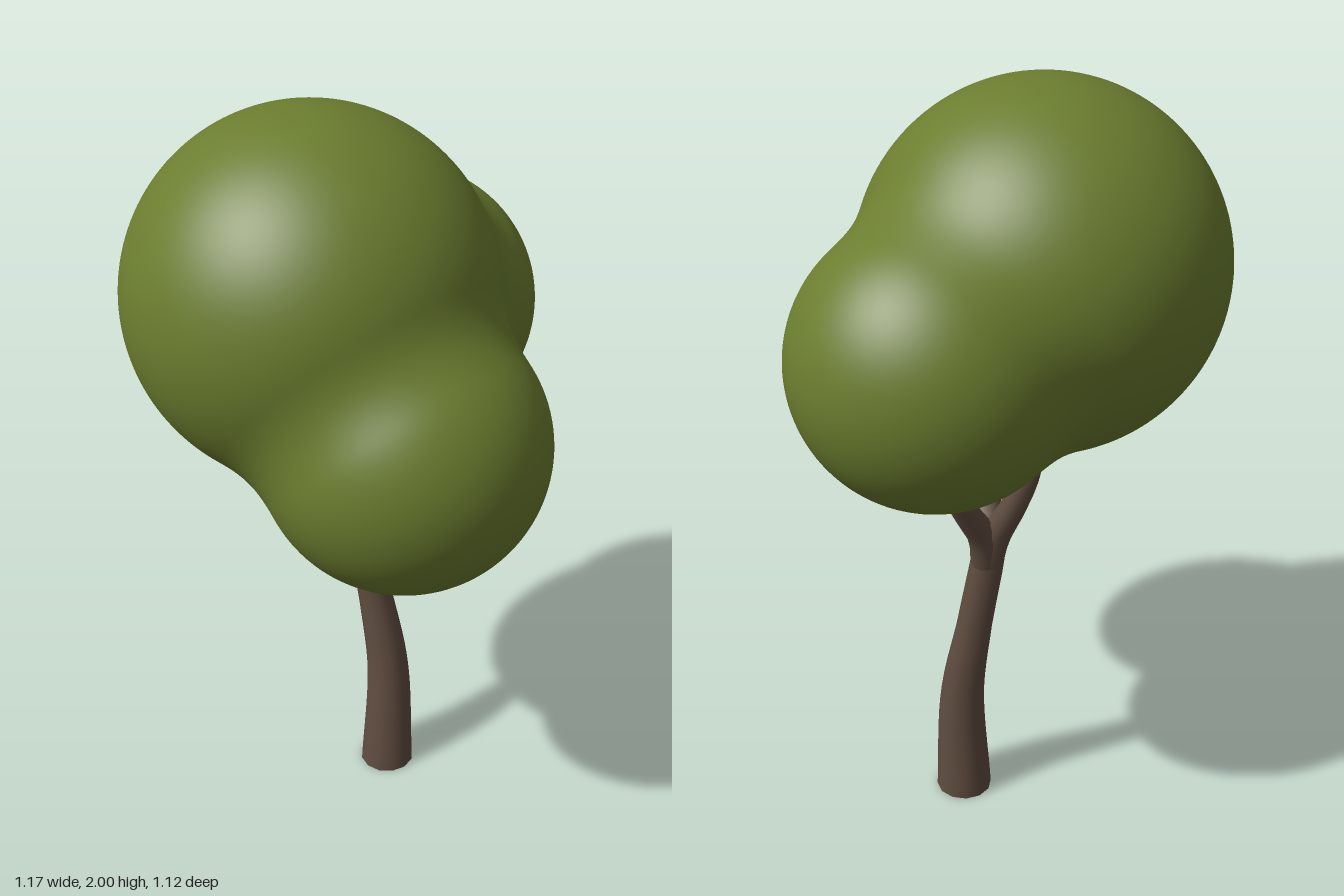
import * as THREE from 'three';
import { mergeVertices } from 'three/addons/utils/BufferGeometryUtils.js';

const leafGreen = new THREE.MeshStandardMaterial({ color: 0x6b7d2f });
leafGreen.name = 'leafGreen';
const barkBrown = new THREE.MeshStandardMaterial({ color: 0x604d40 });
barkBrown.name = 'barkBrown';

// Foliage balls: centre and radius
const balls = [
  { c: new THREE.Vector3(-0.13, 1.54, -0.105), r: 0.46 },
  { c: new THREE.Vector3(-0.11, 1.245, 0.205), r: 0.355 },
  { c: new THREE.Vector3(0.235, 1.4, -0.18), r: 0.35 },
];

// Distance to the balls, blended softly where they meet
function crownDistance(p) {
  const k = 0.09;
  return balls
    .map((b) => p.distanceTo(b.c) - b.r)
    .reduce((a, d) => {
      const h = Math.max(k - Math.abs(a - d), 0) / k;
      return Math.min(a, d) - h * h * k * 0.25;
    });
}

// One continuous skin: each vertex slides out from a shared inner point to the blended surface
function crownGeometry() {
  let geo = new THREE.IcosahedronGeometry(1, 36);
  geo.deleteAttribute('uv');
  geo.deleteAttribute('normal');
  geo = mergeVertices(geo, 1e-5);
  const heart = new THREE.Vector3(0, 1.4, -0.05);
  const pos = geo.attributes.position;
  const dir = new THREE.Vector3();
  const p = new THREE.Vector3();
  for (let i = 0; i < pos.count; i++) {
    dir.fromBufferAttribute(pos, i).normalize();
    let near = 0, far = 1.5;
    for (let s = 0; s < 24; s++) {
      const mid = (near + far) / 2;
      p.copy(heart).addScaledVector(dir, mid);
      if (crownDistance(p) < 0) near = mid;
      else far = mid;
    }
    p.copy(heart).addScaledVector(dir, near);
    pos.setXYZ(i, p.x, p.y, p.z);
  }
  geo.computeVertexNormals();
  return geo;
}

// Tapered tube through [x, y, z, radius] points
function limb(name, points, segments, sides = 12) {
  const curve = new THREE.CatmullRomCurve3(points.map((q) => new THREE.Vector3(q[0], q[1], q[2])));
  const geo = new THREE.TubeGeometry(curve, segments, 1, sides, false);
  const pos = geo.attributes.position;
  const v = new THREE.Vector3();
  for (let i = 0; i <= segments; i++) {
    const u = i / segments;
    const centre = curve.getPointAt(u);
    const t = curve.getUtoTmapping(u) * (points.length - 1);
    const k = Math.min(Math.floor(t), points.length - 2);
    const radius = THREE.MathUtils.lerp(points[k][3], points[k + 1][3], t - k);
    for (let j = 0; j <= sides; j++) {
      const n = i * (sides + 1) + j;
      v.fromBufferAttribute(pos, n).sub(centre).multiplyScalar(radius).add(centre);
      // keep the foot level on the ground
      if (i === 0 && points[0][1] === 0) v.y = 0;
      pos.setXYZ(n, v.x, v.y, v.z);
    }
  }
  geo.computeVertexNormals();
  // match normals across the lengthwise seam
  const nor = geo.attributes.normal;
  const a = new THREE.Vector3();
  for (let i = 0; i <= segments; i++) {
    const n = i * (sides + 1);
    a.fromBufferAttribute(nor, n);
    v.fromBufferAttribute(nor, n + sides).add(a).normalize();
    nor.setXYZ(n, v.x, v.y, v.z);
    nor.setXYZ(n + sides, v.x, v.y, v.z);
  }
  const mesh = new THREE.Mesh(geo, barkBrown);
  mesh.name = name;
  return mesh;
}

export function createModel() {
  const tree = new THREE.Group();
  tree.name = 'tree';

  const crown = new THREE.Mesh(crownGeometry(), leafGreen);
  crown.name = 'crown';
  tree.add(crown);

  // Gently leaning trunk
  tree.add(limb('trunk', [
    [0.065, 0, -0.045, 0.077],
    [0.077, 0.33, -0.056, 0.06],
    [0.063, 0.57, -0.094, 0.048],
    [0.046, 0.77, -0.126, 0.045],
    [0.043, 0.87, -0.145, 0.04],
  ], 20));

  // Closed underside of the trunk
  const foot = new THREE.Mesh(new THREE.CircleGeometry(0.077, 12), barkBrown);
  foot.name = 'trunkFoot';
  foot.rotation.x = Math.PI / 2;
  foot.position.set(0.065, 0, -0.045);
  tree.add(foot);

  // Three branches, one reaching into each ball of leaves
  tree.add(limb('frontBranch', [
    [0.046, 0.77, -0.125, 0.043],
    [0.025, 0.85, -0.095, 0.04],
    [-0.04, 0.93, -0.01, 0.032],
    [-0.1, 1.02, 0.08, 0.03],
  ], 10));
  tree.add(limb('leftBranch', [
    [0.046, 0.77, -0.126, 0.043],
    [0.07, 0.86, -0.145, 0.04],
    [0.14, 0.97, -0.16, 0.033],
    [0.2, 1.08, -0.17, 0.031],
    [0.22, 1.16, -0.17, 0.03],
  ], 12));
  tree.add(limb('backBranch', [
    [0.046, 0.77, -0.126, 0.043],
    [0.042, 0.87, -0.16, 0.039],
    [0.025, 0.97, -0.21, 0.033],
    [0.005, 1.08, -0.245, 0.031],
    [-0.01, 1.22, -0.25, 0.03],
  ], 12));

  return tree;
}
